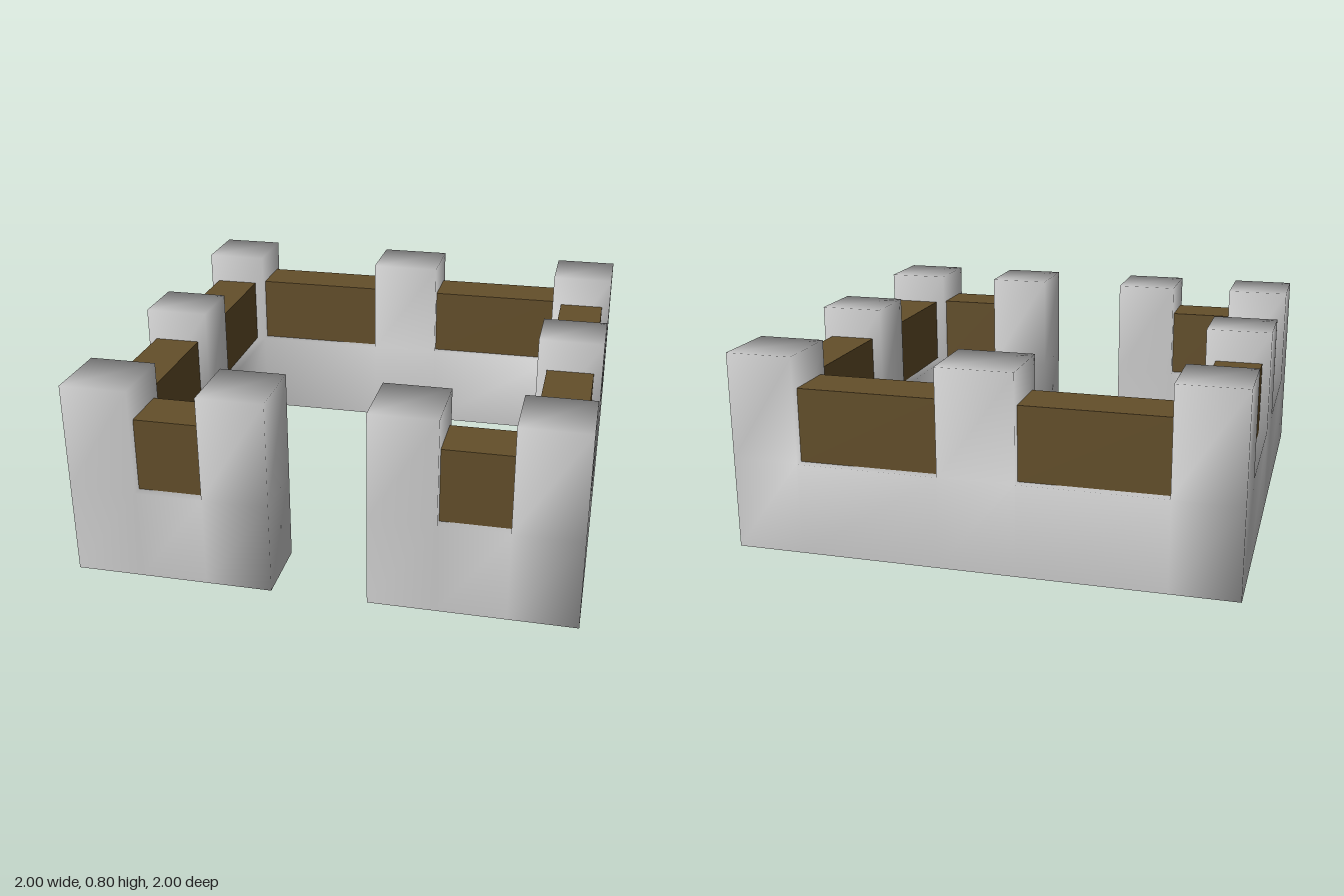
import * as THREE from 'three';
import { mergeVertices } from 'three/addons/utils/BufferGeometryUtils.js';

const LOW = 0.37, HIGH = 0.8;

// Joins plan cells [x0, x1, z0, z1, height] into one hollow skin, open underneath
function blockSkin(cells) {
  const pos = [];
  const quad = (a, b, c, d) => pos.push(...a, ...b, ...c, ...a, ...c, ...d);
  const corners = ([x0, x1, z0, z1]) => [[x0, z1], [x1, z1], [x1, z0], [x0, z0]];
  const heights = new Map();
  for (const cell of cells) {
    const c = corners(cell);
    c.forEach((p, i) => heights.set(`${p}|${c[(i + 1) % 4]}`, cell[4]));
  }
  for (const cell of cells) {
    const c = corners(cell), h = cell[4];
    const at = (p, y) => [p[0], y, p[1]];
    quad(...c.map((p) => at(p, h)));
    c.forEach((p, i) => {
      const q = c[(i + 1) % 4];
      const neighbour = heights.get(`${q}|${p}`) ?? 0;
      for (const [lo, hi] of [[0, LOW], [LOW, HIGH]]) {
        if (hi <= h && hi > neighbour) quad(at(p, lo), at(q, lo), at(q, hi), at(p, hi));
      }
    });
  }
  let g = new THREE.BufferGeometry();
  g.setAttribute('position', new THREE.Float32BufferAttribute(pos, 3));
  g = mergeVertices(g);
  g.computeVertexNormals();
  return g;
}

export function createModel() {
  const group = new THREE.Group();
  const stone = new THREE.MeshStandardMaterial({ color: 0xcccccc, side: THREE.DoubleSide });
  const brown = new THREE.MeshStandardMaterial({ color: 0x644f2a });

  // Plan of the wall: pillars alternate with low stretches, with a gap in front
  const cells = [];
  const zs = [-1, -0.715, -0.13, 0.13, 0.71, 1];
  for (const [x0, x1] of [[-1, -0.73], [0.73, 1]]) {
    for (let i = 0; i < 5; i++) cells.push([x0, x1, zs[i], zs[i + 1], i % 2 ? LOW : HIGH]);
  }
  const backXs = [-0.73, -0.15, 0.157, 0.73];
  for (let i = 0; i < 3; i++) cells.push([backXs[i], backXs[i + 1], -1, -0.715, i % 2 ? HIGH : LOW]);
  cells.push([-0.73, -0.46, 0.71, 1, LOW], [-0.46, -0.193, 0.71, 1, HIGH]);
  cells.push([0.457, 0.73, 0.71, 1, LOW], [0.19, 0.457, 0.71, 1, HIGH]);

  const wall = new THREE.Mesh(blockSkin(cells), stone);
  wall.name = 'wallWithPillars';
  group.add(wall);

  // Brown panels standing on the low stretches between pillars
  const panel = (name, x0, x1, z0, z1) => {
    const top = 0.667;
    const m = new THREE.Mesh(new THREE.BoxGeometry(x1 - x0, top - LOW, z1 - z0), brown);
    m.position.set((x0 + x1) / 2, (top + LOW) / 2, (z0 + z1) / 2);
    m.name = name;
    group.add(m);
  };
  for (const [side, x0, x1] of [['right', -0.965, -0.772], ['left', 0.77, 0.965]]) {
    panel(side + 'BackPanel', x0, x1, zs[1], zs[2]);
    panel(side + 'FrontPanel', x0, x1, zs[3], zs[4]);
  }
  panel('backRightPanel', backXs[0], backXs[1], -0.962, -0.752);
  panel('backLeftPanel', backXs[2], backXs[3], -0.962, -0.752);
  panel('frontRightPanel', -0.73, -0.46, 0.75, 0.96);
  panel('frontLeftPanel', 0.457, 0.73, 0.75, 0.96);
  return group;
}
